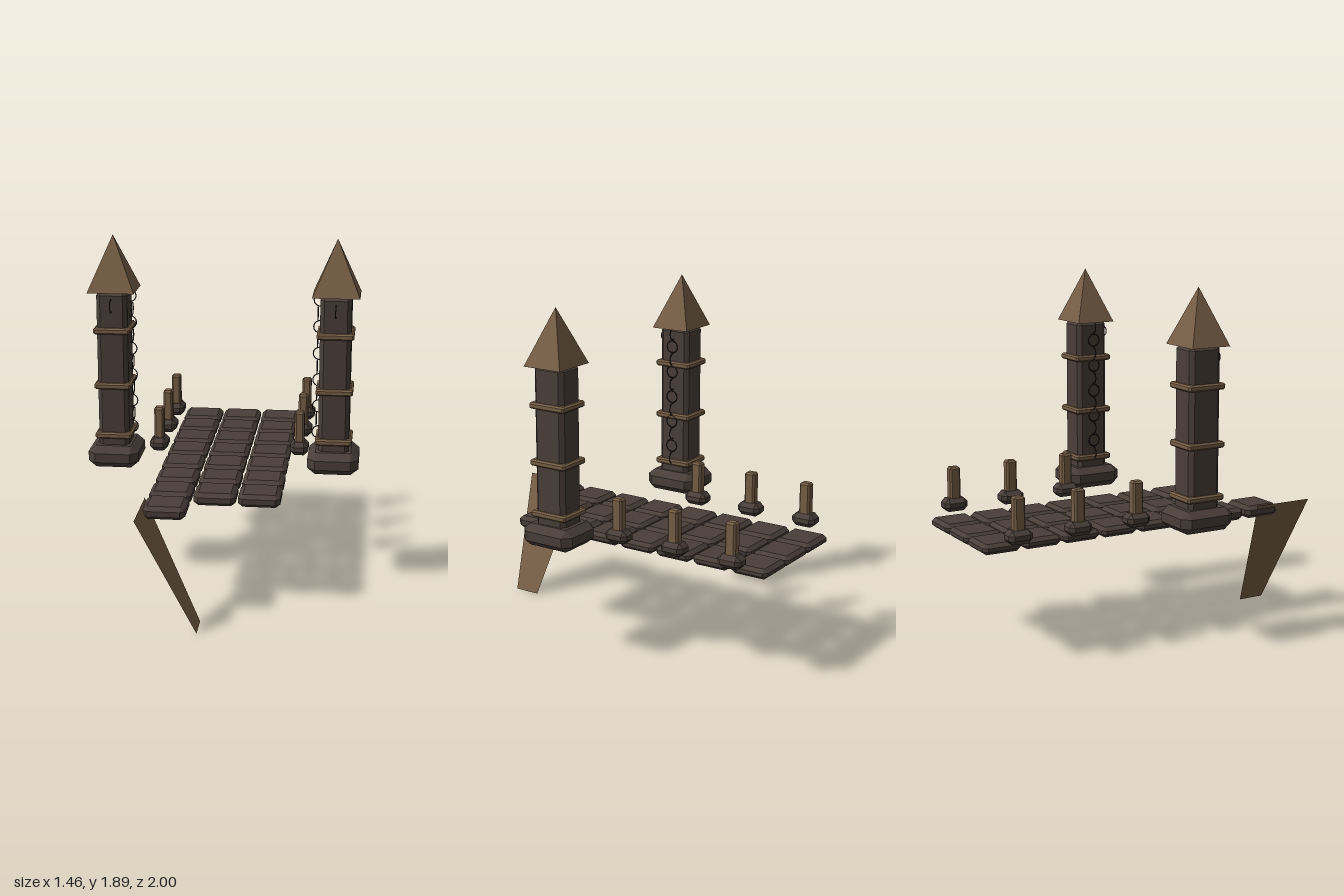
import * as THREE from 'three';
import { ConvexGeometry } from 'three/addons/geometries/ConvexGeometry.js';

const material = (name, color, extra = {}) => {
  const m = new THREE.MeshStandardMaterial({ color, ...extra });
  m.name = name;
  return m;
};

// Box with every edge chamfered: c is the side chamfer, cy the vertical one
function chamferBox(w, h, d, c, cy = c) {
  const points = [];
  for (const sx of [-1, 1]) for (const sy of [-1, 1]) for (const sz of [-1, 1]) {
    const x = w / 2, y = h / 2, z = d / 2;
    const add = (a, b, e) => points.push(new THREE.Vector3(sx * a, sy * b, sz * e));
    add(x, y - cy, z - c);
    add(x - c, y, z - c);
    add(x - c, y - cy, z);
  }
  return new ConvexGeometry(points);
}

export function createModel() {
  const model = new THREE.Group();
  model.name = 'ruinedBridge';
  const stone = material('darkStone', 0x4a3e39);
  const wood = material('brownWood', 0x775f46);
  const woodSheet = material('brownSheet', 0x775f46, { side: THREE.DoubleSide });
  const iron = material('darkIron', 0x2b2624);

  const add = (parent, name, geometry, mat, x, y, z) => {
    const mesh = new THREE.Mesh(geometry, mat);
    mesh.name = name;
    mesh.position.set(x, y, z);
    parent.add(mesh);
    return mesh;
  };

  // Deck of paving slabs, with only one slab left in the broken front row
  const deck = new THREE.Group();
  deck.name = 'deck';
  model.add(deck);
  const backSlab = chamferBox(0.22, 0.055, 0.212, 0.022, 0.018);
  const frontSlab = chamferBox(0.22, 0.068, 0.21, 0.025, 0.02);
  for (let row = 0; row < 8; row++) {
    for (let col = 0; col < (row === 7 ? 1 : 3); col++) {
      const front = row > 4;
      add(deck, 'slab', front ? frontSlab : backSlab, stone,
        -0.235 + col * 0.232, front ? 0.597 : 0.605, -0.895 + row * 0.227);
    }
  }

  // Small railing posts on both sides
  const postBase = chamferBox(0.1, 0.073, 0.135, 0.024);
  const postShaft = chamferBox(0.054, 0.19, 0.062, 0.01);
  for (const side of [-1, 1]) {
    for (const z of [-0.835, -0.495, -0.15]) {
      const post = new THREE.Group();
      post.name = 'railingPost';
      post.position.set(side * 0.393, 0, z);
      model.add(post);
      add(post, 'postBase', postBase, stone, 0, 0.673, 0);
      add(post, 'postShaft', postShaft, wood, 0, 0.785, 0);
    }
  }

  // Four-sided roof, slightly wider than deep
  const roof = new THREE.ConeGeometry(Math.SQRT1_2, 0.295, 4, 1).toNonIndexed();
  roof.rotateY(Math.PI / 4);
  roof.scale(0.25, 1, 0.225);
  roof.computeVertexNormals();

  const towerBase = chamferBox(0.273, 0.12, 0.31, 0.042, 0.035);
  const shaft = chamferBox(0.165, 0.87, 0.183, 0.022);
  const band = chamferBox(0.196, 0.034, 0.22, 0.01, 0.008);
  const ring = new THREE.TorusGeometry(0.034, 0.003, 6, 16);

  // Towers flanking the deck
  for (const side of [-1, 1]) {
    const tower = new THREE.Group();
    tower.name = side > 0 ? 'leftTower' : 'rightTower';
    tower.position.set(side * 0.592, 0, 0.094);
    model.add(tower);
    add(tower, 'towerBase', towerBase, stone, 0, 0.698, 0);
    add(tower, 'towerShaft', shaft, stone, 0, 1.165, 0);
    for (const y of [0.811, 1.087, 1.389]) add(tower, 'band', band, wood, 0, y, 0);
    add(tower, 'roof', roof, wood, 0, 1.743, 0);

    // Ring on the front face
    add(tower, 'frontRing', ring, iron, 0, 1.526, 0.102).rotation.y = Math.PI / 2;

    // Chain down the inner face, links turned alternately
    for (let i = 0; i < 11; i++) {
      const flat = i % 2 === 0;
      const link = add(tower, 'chainLink', ring, iron,
        -side * (flat ? 0.085 : 0.097), 1.565 - i * 0.0725, 0);
      if (!flat) link.rotation.y = Math.PI / 2;
    }
  }

  // Tapered sheet slanting down to the ground from the broken end
  const sheet = new THREE.BufferGeometry();
  sheet.setAttribute('position', new THREE.Float32BufferAttribute([
    -0.35, 0.632, 0.655, -0.35, 0.632, 1,
    -0.055, 0, 0.9, -0.055, 0, 0.75,
  ], 3));
  sheet.setIndex([0, 1, 2, 0, 2, 3]);
  sheet.computeVertexNormals();
  add(model, 'slantedSupport', sheet, woodSheet, 0, 0, 0);

  return model;
}
